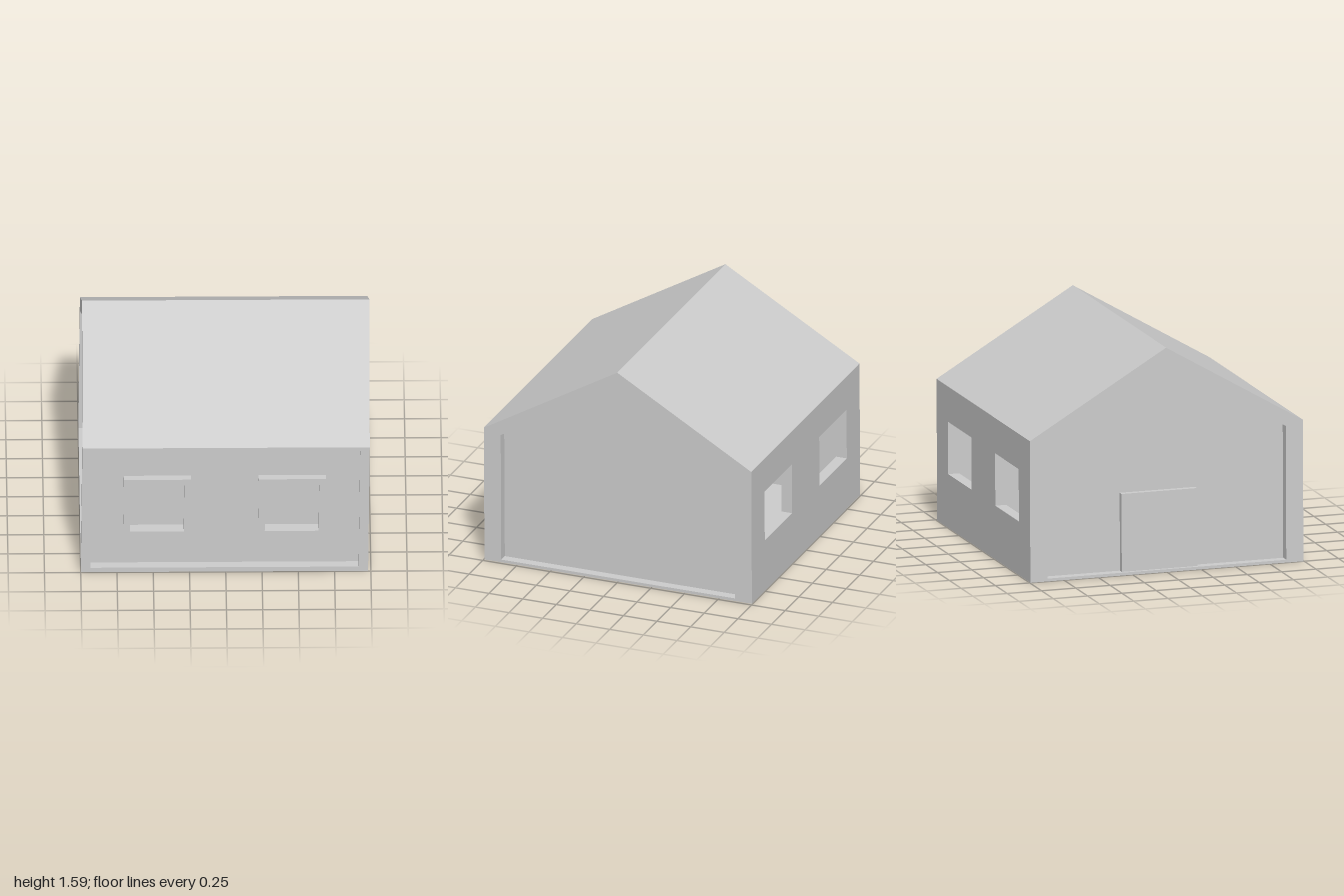
import * as THREE from 'three';

const W = 0.99;    // half width (x)
const D = 0.995;   // half depth (z)
const IN = 0.925;  // plane of the recessed gable and front panels

// The whole house leans very slightly towards +x
const LEAN = 0.0115;
const lean = new THREE.Matrix4().set(
  1, LEAN, 0, -LEAN * 0.79,
  0, 1, 0, 0,
  0, 0, 1, 0,
  0, 0, 0, 1);

export function createModel() {
  const house = new THREE.Group();
  house.name = 'house';
  const material = new THREE.MeshStandardMaterial({ color: 0xcccccc, flatShading: true });

  const add = (name, geometry) => {
    const mesh = new THREE.Mesh(geometry.applyMatrix4(lean), material);
    mesh.name = name;
    house.add(mesh);
  };

  // Box given by its min and max corners
  const box = (name, x0, x1, y0, y1, z0, z1) => add(name,
    new THREE.BoxGeometry(x1 - x0, y1 - y0, z1 - z0)
      .translate((x0 + x1) / 2, (y0 + y1) / 2, (z0 + z1) / 2));

  const points = (list) => list.map(([a, b]) => new THREE.Vector2(a, b));
  const rect = (x0, x1, y0, y1) => [[x0, y0], [x1, y0], [x1, y1], [x0, y1]];
  const slab = (outline, holes, depth) => {
    const shape = new THREE.Shape(points(outline));
    holes.forEach((h) => shape.holes.push(new THREE.Path(points(h))));
    return new THREE.ExtrudeGeometry(shape, { depth, bevelEnabled: false });
  };
  // Upright wall facing z, outline in (x, y)
  const wall = (name, outline, holes, z0, z1) =>
    add(name, slab(outline, holes, z1 - z0).translate(0, 0, z0));
  // Section running along x, outline in (-z, y)
  const section = (name, outline, holes, x0, x1) =>
    add(name, slab(outline, holes, x1 - x0).rotateY(Math.PI / 2).translate(x0, 0, 0));

  // Gable ends: thick border with a thin recessed panel
  const gable = [[-D, 0], [D, 0], [D, 1], [0, 1.585], [-D, 1]];
  const panel = [[-0.87, 0.02], [0.87, 0.02], [0.87, 0.965], [0, 1.475], [-0.87, 0.965]];
  const backing = [[-0.92, 0.005], [0.92, 0.005], [0.92, 1], [0, 1.53], [-0.92, 1]];
  section('leftGableFrame', gable, [panel], IN, W);
  section('rightGableFrame', gable, [panel], -W, -IN);
  section('leftGablePanel', backing, [], IN - 0.02, IN);
  section('rightGablePanel', backing, [], -IN, -IN + 0.02);

  // Roof, with eaves reaching down over both long walls
  section('roof', [
    [-D, 1], [-D, 0.97], [-IN, 0.97], [0, 1.5], [0.915, 0.97], [D, 0.97], [D, 1], [0, 1.585],
  ], [], -IN, IN);

  box('floor', -IN, IN, 0, 0.02, -0.915, 0.86);

  // Back wall with two open windows
  const backHoles = [-0.5, 0.5].map((x) => rect(x - 0.25, x + 0.25, 0.38, 0.75));
  wall('backWall', rect(-IN, IN, 0, 0.97), backHoles, -D, -0.915);

  // Recessed front wall with two framed, closed windows
  const windowAt = (x, half) => rect(x - half, x + half, 0.503 - half, 0.503 + half);
  const windowX = [-0.47, 0.46];
  wall('frontWall', rect(-IN, IN, 0, 1), windowX.map((x) => windowAt(x, 0.186)), 0.86, IN);
  box('frontSill', -IN, IN, 0, 0.035, IN, D);
  windowX.forEach((x, i) => {
    const side = i ? 'left' : 'right';
    wall(side + 'WindowFrame', windowAt(x, 0.232), [windowAt(x, 0.186)], IN, 0.98);
    wall(side + 'WindowPane', windowAt(x, 0.186), [], 0.865, 0.89);
  });

  // Door on the right gable
  box('door', -IN - 0.04, -IN, 0.02, 0.57, -0.32, 0.23);

  return house;
}
